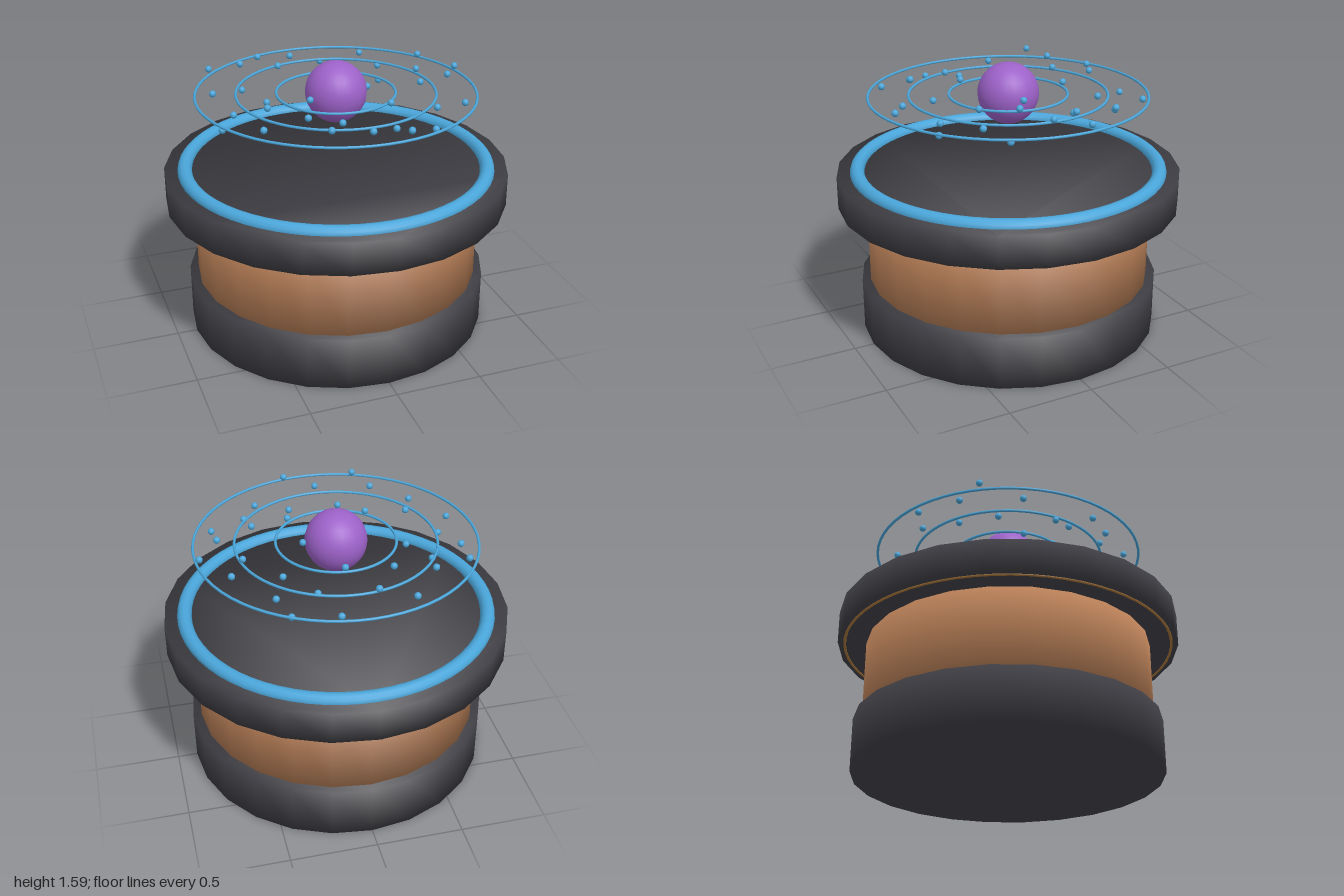
import * as THREE from 'three';
import { mergeVertices } from 'three/addons/utils/BufferGeometryUtils.js';

const paint = (name, color) => {
  const m = new THREE.MeshStandardMaterial({ color });
  m.name = name;
  return m;
};

// 24-sided solid drum whose normals are shared between sides and caps
function drumGeometry(radius, bottom, top) {
  const points = [];
  for (let i = 0; i < 24; i++) {
    const a = (i / 24) * Math.PI * 2;
    points.push(new THREE.Vector2(Math.cos(a) * radius, Math.sin(a) * radius));
  }
  let g = new THREE.ExtrudeGeometry(new THREE.Shape(points), { depth: top - bottom, bevelEnabled: false });
  g.rotateX(-Math.PI / 2);
  g.translate(0, bottom, 0);
  g.deleteAttribute('uv');
  g.deleteAttribute('normal');
  g.clearGroups();
  g = mergeVertices(g, 1e-4);
  g.computeVertexNormals();
  const p = g.attributes.position;
  const n = new THREE.Vector3();
  const middle = (bottom + top) / 2;
  for (let i = 0; i < p.count; i++) {
    n.set(p.getX(i) / radius, p.getY(i) > middle ? 1 : -1, p.getZ(i) / radius).normalize();
    g.attributes.normal.setXYZ(i, n.x, n.y, n.z);
  }
  return g;
}

export function createModel() {
  const model = new THREE.Group();
  model.name = 'hologramTable';

  const dark = paint('darkMetal', 0x3e3d43);
  const wood = paint('copperBrown', 0xb87f57);
  const blue = paint('glowBlue', 0x4aa6da);
  const purple = paint('orbPurple', 0x9d62c9);
  const amber = paint('amberTrim', 0xa8763a);

  const add = (name, geometry, material, y = 0) => {
    const mesh = new THREE.Mesh(geometry, material);
    mesh.name = name;
    mesh.position.y = y;
    model.add(mesh);
    return mesh;
  };
  const ring = (name, radius, tube, y, material, sides = 8) =>
    add(name, new THREE.TorusGeometry(radius, tube, sides, 64).rotateX(Math.PI / 2), material, y);

  // Pedestal and table top
  add('base', drumGeometry(0.885, 0, 0.31), dark);
  add('body', drumGeometry(0.835, 0.3, 0.79), wood);
  add('tableTop', drumGeometry(1, 0.78, 0.97), dark);
  ring('rimLight', 0.88, 0.042, 0.97, blue, 12);
  ring('undersideTrim', 0.96, 0.008, 0.78, amber);

  // Floating star and orbits
  add('centralOrb', new THREE.SphereGeometry(0.177, 24, 16), purple, 1.413);
  for (const r of [0.34, 0.57, 0.8]) ring('orbitRing', r, 0.008, 1.41, blue);

  // Small floating beads: x, y, z
  const beads = [
    -0.27, 1.43, -0.68, 0.13, 1.36, -0.67, 0.39, 1.39, -0.66, -0.09, 1.445, -0.59,
    -0.63, 1.47, -0.45, -0.43, 1.465, -0.49, 0.21, 1.385, -0.47, 0.43, 1.37, -0.45,
    -0.22, 1.455, -0.41, 0.64, 1.46, -0.32, -0.48, 1.385, -0.27, 0.03, 1.44, -0.34,
    0.35, 1.36, -0.23, -0.67, 1.41, -0.2, 0.55, 1.44, -0.13, 0.78, 1.445, -0.09,
    -0.39, 1.37, -0.07, 0.19, 1.42, 0, -0.61, 1.36, 0.03, 0.66, 1.46, 0.07,
    -0.72, 1.355, 0.21, -0.46, 1.44, 0.19, -0.22, 1.46, 0.2, 0.45, 1.47, 0.16,
    0.22, 1.42, 0.29, 0.66, 1.375, 0.32, -0.54, 1.4, 0.39, -0.32, 1.47, 0.47,
    -0.11, 1.395, 0.42, 0.46, 1.395, 0.38, 0.17, 1.355, 0.5, -0.02, 1.42, 0.64,
    0.36, 1.36, 0.59, -0.26, 1.47, 0.67, 0.15, 1.445, 0.75,
  ];
  const beadShape = new THREE.SphereGeometry(0.02, 10, 8);
  for (let i = 0; i < beads.length; i += 3) {
    add('bead', beadShape, blue).position.fromArray(beads, i);
  }

  return model;
}
